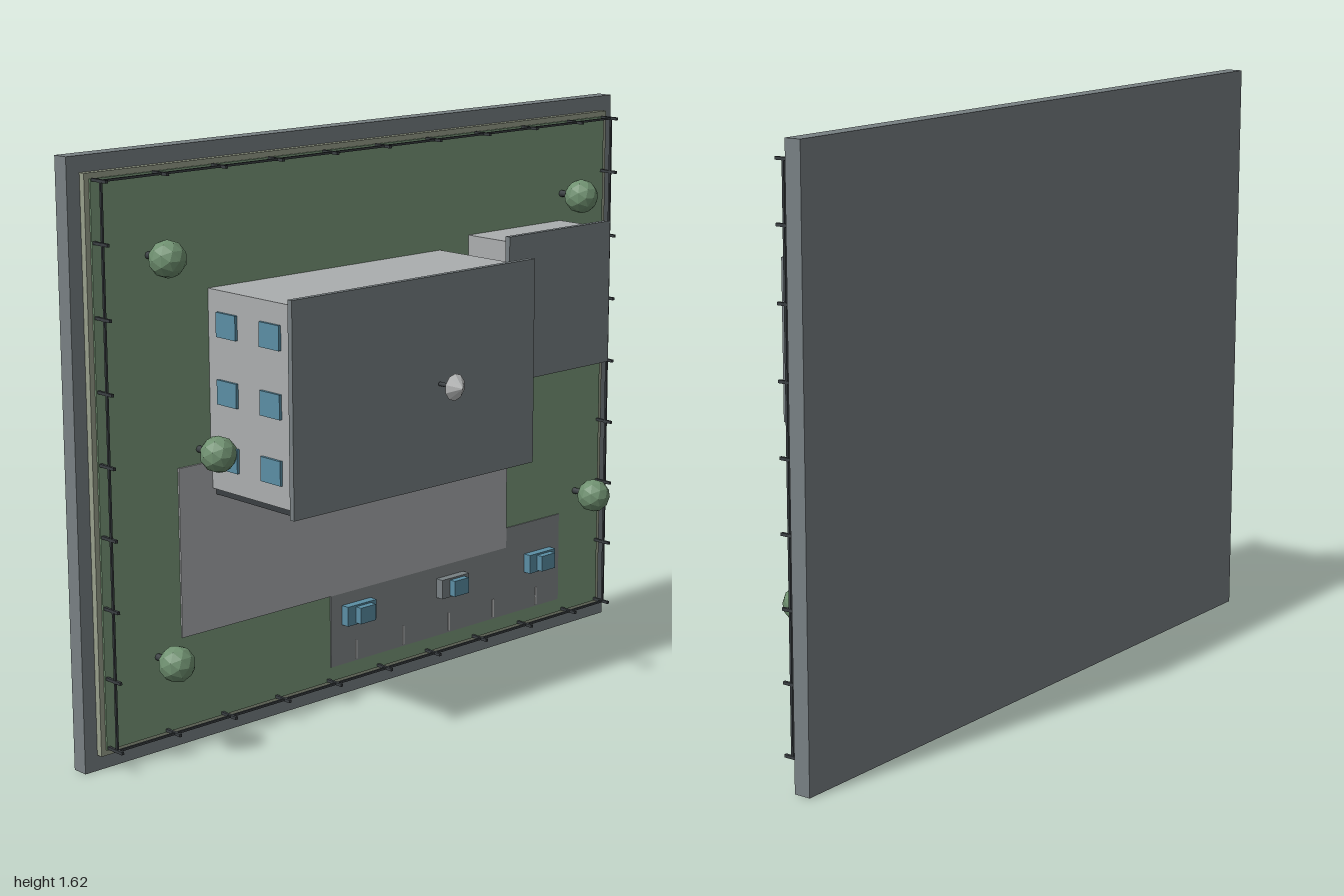
import * as THREE from 'three';

const mat = (name, color, flat = false) => {
  const m = new THREE.MeshStandardMaterial({ color, flatShading: flat });
  m.name = name;
  return m;
};

export function createModel() {
  const slate = mat('slate', 0x788083);
  const stone = mat('stone', 0x99a08c);
  const grass = mat('grass', 0x7a9a7a);
  const wall = mat('wall', 0xabaeaf);
  const paving = mat('paving', 0xacaeb0);
  const asphalt = mat('asphalt', 0x828789);
  const glass = mat('glass', 0x5b8ea4);
  const dark = mat('dark metal', 0x3a3f42);
  const leaf = mat('foliage', 0x6f9070, true);
  const pale = mat('pale metal', 0xc4c6c6, true);

  const root = new THREE.Group();
  root.name = 'sitePlan';
  const add = (parent, name, geo, material, x, y, z) => {
    const m = new THREE.Mesh(geo, material);
    m.name = name;
    m.position.set(x, y, z);
    parent.add(m);
    return m;
  };
  // Box given by its limits on each axis
  const box = (parent, name, material, x0, x1, y0, y1, z0, z1) =>
    add(parent, name, new THREE.BoxGeometry(x1 - x0, y1 - y0, z1 - z0), material,
      (x0 + x1) / 2, (y0 + y1) / 2, (z0 + z1) / 2);
  const group = (name) => {
    const g = new THREE.Group();
    g.name = name;
    root.add(g);
    return g;
  };

  // Layered ground, standing upright and facing +z
  box(root, 'baseSlab', slate, -1, 1, 0, 1.62, -0.257, -0.21);
  box(root, 'stoneBorder', stone, -0.96, 0.96, 0.043, 1.577, -0.21, -0.192);
  box(root, 'lawn', grass, -0.945, 0.945, 0.058, 1.562, -0.192, -0.187);
  box(root, 'parkingLot', asphalt, -0.16, 0.77, 0.1, 0.37, -0.187, -0.184);
  box(root, 'plaza', paving, -0.69, 0.54, 0.31, 0.775, -0.187, -0.182);
  for (let i = 0; i < 5; i++) {
    const x = -0.065 + i * 0.184;
    box(root, 'parkingLine', pale, x - 0.003, x + 0.003, 0.105, 0.16, -0.184, -0.182);
  }

  // Buildings: walls, overhanging roof, side windows, glazed entrance side
  const building = (name, x0, x1, y0, y1, top, rows, cols, glassHalf) => {
    const g = group(name);
    const cx = (x0 + x1) / 2;
    box(g, 'walls', wall, x0, x1, y0, y1, -0.187, top);
    box(g, 'roof', slate, x0 - 0.018, x1 + 0.018, y0 - 0.018, y1 + 0.018, top, top + 0.016);
    for (const y of rows) for (const z of cols) for (const [a, b] of [[x0 - 0.008, x0], [x1, x1 + 0.008]])
      box(g, 'window', glass, a, b, y - 0.033, y + 0.033, z - 0.039, z + 0.039);
    box(g, 'entranceGlass', glass, cx - glassHalf, cx + glassHalf, y0 - 0.017, y0, -0.18, top);
    for (const x of [x0 + 0.02, x1 - 0.02])
      box(g, 'cornerPost', dark, x - 0.008, x + 0.008, y0 - 0.019, y0, -0.187, top);
  };
  building('mainBuilding', -0.577, 0.267, 0.702, 1.24, 0.15, [0.795, 0.97, 1.15], [0.063, -0.109], 0.295);
  building('annex', 0.38, 0.762, 0.888, 1.27, -0.021, [0.985, 1.175], [-0.109], 0.14);

  // Rooftop mast with a cone cap
  const mast = group('roofMast');
  add(mast, 'mastPole', new THREE.CylinderGeometry(0.006, 0.006, 0.06, 8), dark, -0.08, 0.965, 0.2)
    .rotation.x = Math.PI / 2;
  add(mast, 'mastCone', new THREE.ConeGeometry(0.037, 0.03, 10), pale, -0.08, 0.965, 0.242)
    .rotation.x = Math.PI / 2;

  // Perimeter fence: one thin rail and evenly spaced posts
  const fence = group('fence');
  const X = 0.938, Y0 = 0.064, Y1 = 1.56, t = 0.003;
  for (const y of [Y0, Y1]) box(fence, 'rail', dark, -X, X, y - t, y + t, -0.155, -0.149);
  for (const x of [-X, X]) box(fence, 'rail', dark, x - t, x + t, Y0, Y1, -0.155, -0.149);
  const post = (x, y) => box(fence, 'post', dark, x - 0.004, x + 0.004, y - 0.004, y + 0.004, -0.187, -0.128);
  for (let i = 0; i <= 10; i++) for (const y of [Y0, Y1]) post(Math.min(-X + i * 0.192, X), y);
  for (let i = 1; i < 8; i++) for (const x of [-X, X]) post(x, Y0 + i * 0.191);

  // Trees
  for (const [x, y] of [[-0.77, 1.35], [0.765, 1.35], [-0.77, 0.275], [0.84, 0.43], [-0.617, 0.815]]) {
    const tree = group('tree');
    add(tree, 'trunk', new THREE.CylinderGeometry(0.008, 0.01, 0.06, 8), dark, x, y, -0.158)
      .rotation.x = Math.PI / 2;
    add(tree, 'crown', new THREE.IcosahedronGeometry(0.05, 1), leaf, x, y, -0.107)
      .rotation.x = Math.PI / 2;
  }

  // Parked cars
  for (const [x, body] of [[-0.065, glass], [0.305, slate], [0.672, glass]]) {
    const car = group('car');
    box(car, 'carBody', body, x - 0.055, x + 0.055, 0.218, 0.275, -0.182, -0.157);
    box(car, 'carCabin', glass, x - 0.024, x + 0.034, 0.223, 0.27, -0.157, -0.137);
  }
  return root;
}
